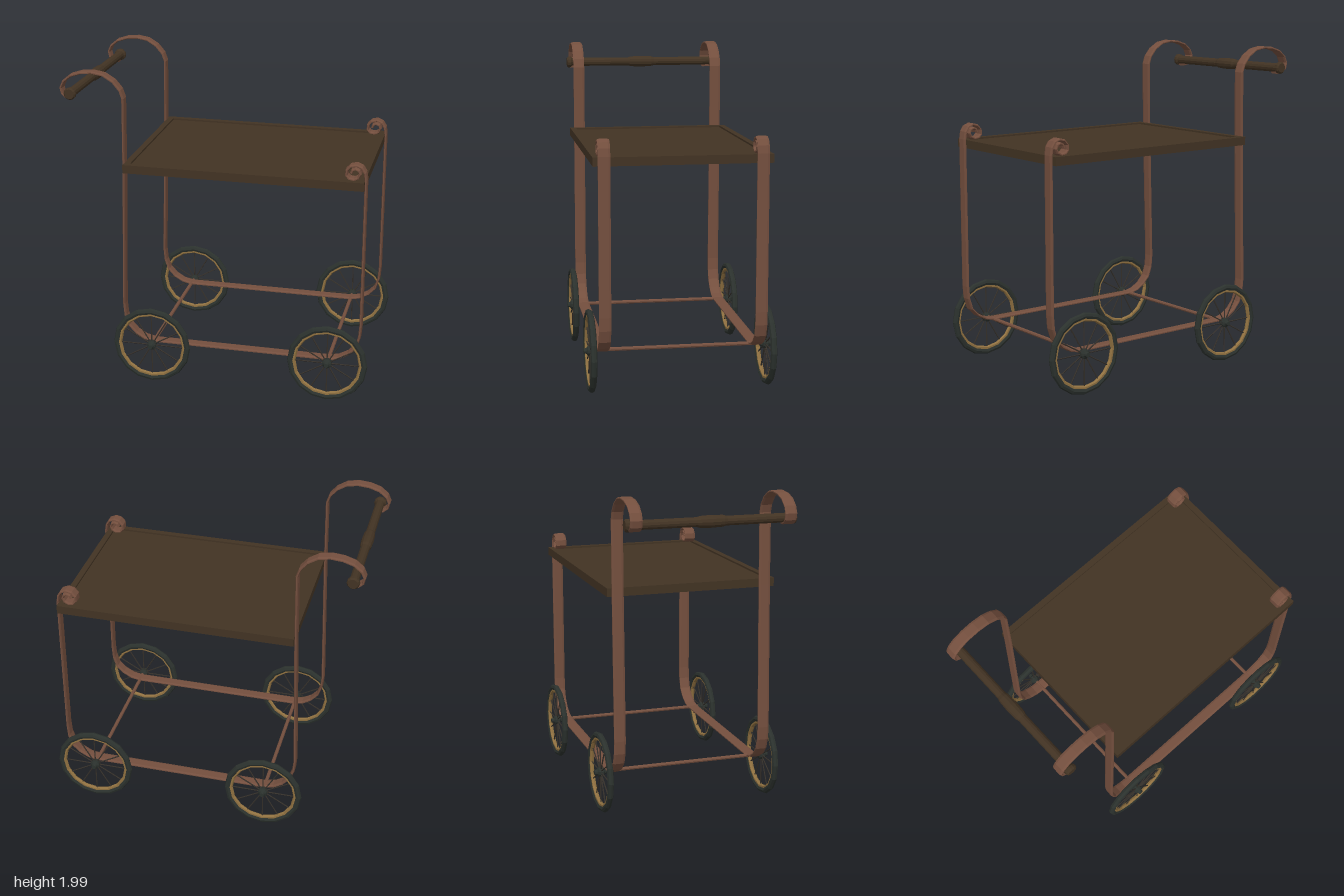
import * as THREE from 'three';

const mat = (name, color, extra = {}) => {
  const m = new THREE.MeshStandardMaterial({ color, flatShading: true, ...extra });
  m.name = name;
  return m;
};

// Sweep a bevelled flat bar along a 2D path in the xy plane
function strapGeometry(path, halfWidth, halfThick) {
  const w = halfWidth, t = halfThick, b = 0.012;
  const profile = [[-w, -t * 0.4], [-w + b, -t], [w - b, -t], [w, -t * 0.4],
    [w, t * 0.4], [w - b, t], [-w + b, t], [-w, t * 0.4]];
  const n = profile.length, pos = [], idx = [];
  path.forEach(([x, y], i) => {
    const p = path[Math.max(i - 1, 0)], q = path[Math.min(i + 1, path.length - 1)];
    const dx = q[0] - p[0], dy = q[1] - p[1], l = Math.hypot(dx, dy);
    for (const [z, o] of profile) pos.push(x - (dy / l) * o, y + (dx / l) * o, z);
  });
  for (let i = 0; i < path.length - 1; i++) {
    for (let j = 0; j < n; j++) {
      const a = i * n + j, c = i * n + (j + 1) % n;
      idx.push(a, a + n, c, c, a + n, c + n);
    }
  }
  const last = (path.length - 1) * n;
  for (let j = 1; j < n - 1; j++) idx.push(0, j, j + 1, last, last + j + 1, last + j);
  const g = new THREE.BufferGeometry();
  g.setAttribute('position', new THREE.Float32BufferAttribute(pos, 3));
  g.setIndex(idx);
  g.computeVertexNormals();
  return g;
}

export function createModel() {
  const root = new THREE.Group();
  root.name = 'servingCart';
  const copper = mat('copper', 0x744f3e, { side: THREE.DoubleSide });
  const wood = mat('darkWood', 0x423323);
  const tyreMat = mat('blackRubber', 0x2b312d);
  const brass = mat('brass', 0x8f7040);
  const steel = mat('darkSteel', 0x35302a);

  const add = (parent, name, geo, material, x = 0, y = 0, z = 0) => {
    const m = new THREE.Mesh(geo, material);
    m.name = name;
    m.position.set(x, y, z);
    parent.add(m);
    return m;
  };

  // Side straps: handle curl, rear leg, bottom rail, front leg, small scroll
  const path = [
    [-0.89, 1.822], [-0.925, 1.828], [-0.95, 1.85], [-0.958, 1.885], [-0.94, 1.925],
    [-0.895, 1.962], [-0.83, 1.983], [-0.76, 1.989], [-0.69, 1.977], [-0.63, 1.94],
    [-0.588, 1.89], [-0.571, 1.84], [-0.577, 1.4], [-0.6, 0.5], [-0.593, 0.42],
    [-0.57, 0.355], [-0.525, 0.305], [-0.47, 0.272], [-0.41, 0.258], [0.71, 0.258],
    [0.77, 0.27], [0.83, 0.303], [0.875, 0.35], [0.897, 0.42], [0.903, 0.5],
    [0.903, 1.44], [0.896, 1.485], [0.877, 1.515], [0.845, 1.529], [0.81, 1.52],
    [0.788, 1.495], [0.786, 1.464], [0.803, 1.445], [0.832, 1.44], [0.857, 1.452],
    [0.868, 1.476], [0.86, 1.498], [0.84, 1.506], [0.822, 1.498], [0.815, 1.48],
  ];
  const strap = strapGeometry(path, 0.036, 0.008);
  for (const s of [1, -1]) add(root, s > 0 ? 'frontSideStrap' : 'backSideStrap', strap, copper, 0, 0, s * 0.463);

  // Tray: raised border around a recessed panel
  const tray = new THREE.Group();
  tray.name = 'tray';
  root.add(tray);
  const x0 = -0.573, x1 = 0.897, cx = (x0 + x1) / 2, len = x1 - x0, half = 0.527, b = 0.038;
  for (const s of [1, -1]) {
    add(tray, 'trayLongEdge', new THREE.BoxGeometry(len, 0.052, b), wood, cx, 1.41, s * (half - b / 2));
    add(tray, 'trayShortEdge', new THREE.BoxGeometry(b, 0.052, 2 * (half - b)), wood,
      cx + s * (len - b) / 2, 1.41, 0);
  }
  add(tray, 'trayPanel', new THREE.BoxGeometry(len - 2 * b, 0.02, 2 * (half - b)), wood, cx, 1.415, 0);

  // Turned push handle with a swollen middle and end knobs
  const handlePts = [[0, -0.515], [0.03, -0.515], [0.038, -0.505], [0.038, -0.49], [0.028, -0.48],
    [0.028, -0.09], [0.034, -0.07], [0.037, 0], [0.034, 0.07], [0.028, 0.09],
    [0.028, 0.48], [0.038, 0.49], [0.038, 0.505], [0.03, 0.515], [0, 0.515]];
  const handle = add(root, 'pushHandle',
    new THREE.LatheGeometry(handlePts.map(p => new THREE.Vector2(...p)), 12), wood, -0.897, 1.854, 0);
  handle.rotation.x = Math.PI / 2;

  // Shared wheel geometries
  const tyreGeo = new THREE.TorusGeometry(0.23, 0.02, 8, 16);
  const rimGeo = new THREE.TorusGeometry(0.211, 0.014, 6, 16);
  const hubPts = [[0, -0.036], [0.014, -0.036], [0.018, -0.022], [0.03, -0.014], [0.03, 0.014],
    [0.018, 0.022], [0.014, 0.04], [0, 0.04]];
  const hubGeo = new THREE.LatheGeometry(hubPts.map(p => new THREE.Vector2(...p)), 10);
  const spokeGeo = new THREE.CylinderGeometry(0.0042, 0.0042, 0.185, 5);
  spokeGeo.translate(0, 0.1125, 0);

  for (const x of [-0.41, 0.71]) {
    // Axle bar
    const axle = add(root, 'axle', new THREE.CylinderGeometry(0.012, 0.012, 1.04, 8), copper, x, 0.256, 0);
    axle.rotation.x = Math.PI / 2;
    for (const s of [1, -1]) {
      const wheel = new THREE.Group();
      wheel.name = 'wheel';
      wheel.position.set(x, 0.252, s * 0.533);
      if (s < 0) wheel.rotation.y = Math.PI;
      root.add(wheel);
      add(wheel, 'tyre', tyreGeo, tyreMat);
      add(wheel, 'rim', rimGeo, brass);
      add(wheel, 'hub', hubGeo, tyreMat).rotation.x = Math.PI / 2;
      for (let i = 0; i < 12; i++) add(wheel, 'spoke', spokeGeo, steel).rotation.z = (i * Math.PI) / 6;
    }
  }
  return root;
}
